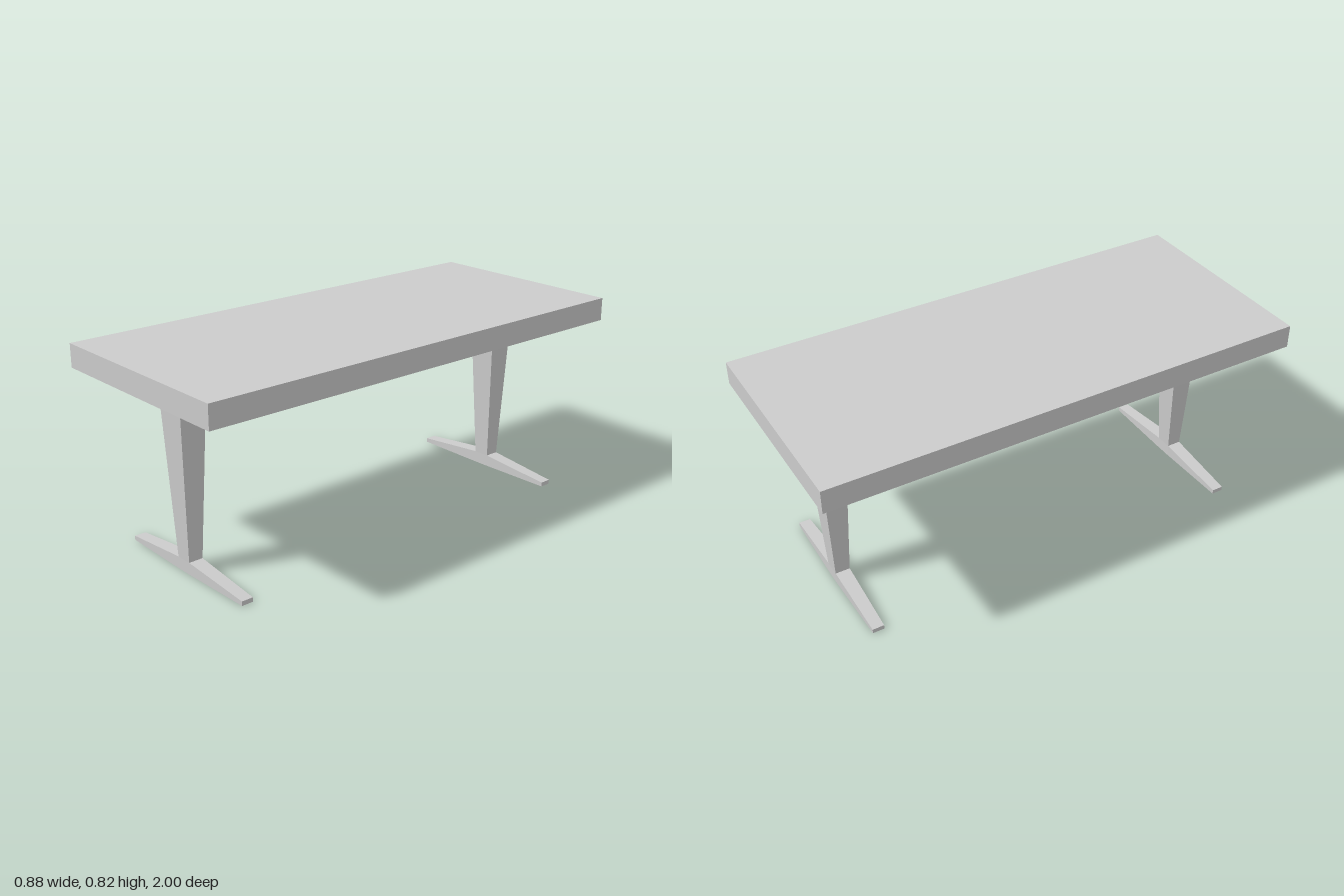
import * as THREE from 'three';

const material = new THREE.MeshStandardMaterial({ color: 0xcccccc, flatShading: true });

function part(name, geometry) {
  const mesh = new THREE.Mesh(geometry, material);
  mesh.name = name;
  return mesh;
}

// Moves every vertex of a geometry by a rule
function reshape(geometry, rule) {
  const pos = geometry.attributes.position;
  const v = new THREE.Vector3();
  for (let i = 0; i < pos.count; i++) {
    rule(v.fromBufferAttribute(pos, i));
    pos.setXYZ(i, v.x, v.y, v.z);
  }
  const flat = geometry.toNonIndexed();
  flat.computeVertexNormals();
  return flat;
}

const TOP = 0.73, NECK = 0.05, TIP = 0.018;

// Square column, wider towards the table top
function columnGeometry() {
  return reshape(new THREE.BoxGeometry(2, 1, 2), (v) => {
    const upper = v.y > 0;
    v.set(v.x * (upper ? 0.067 : 0.0355), upper ? TOP : NECK, v.z * (upper ? 0.058 : 0.03));
  });
}

// Flat-bottomed foot: level under the column, thinning to both tips
function footGeometry() {
  return reshape(new THREE.BoxGeometry(3, 1, 2, 3, 1, 1), (v) => {
    const tip = Math.abs(v.x) > 1;
    v.set(
      Math.sign(v.x) * (tip ? 0.355 : 0.0355),
      v.y > 0 ? (tip ? TIP : NECK) : 0,
      v.z * (tip ? 0.024 : 0.03)
    );
  });
}

export function createModel() {
  const model = new THREE.Group();
  model.name = 'table';

  // Table top
  const top = part('tableTop', new THREE.BoxGeometry(0.885, 0.095, 2));
  top.position.y = TOP + 0.0475;
  model.add(top);

  // One pedestal near each end
  for (const [name, side] of [['frontLeg', 1], ['backLeg', -1]]) {
    const leg = new THREE.Group();
    leg.name = name;
    leg.add(part('column', columnGeometry()), part('foot', footGeometry()));
    leg.position.set(-0.002, 0, side * 0.807);
    model.add(leg);
  }
  return model;
}
